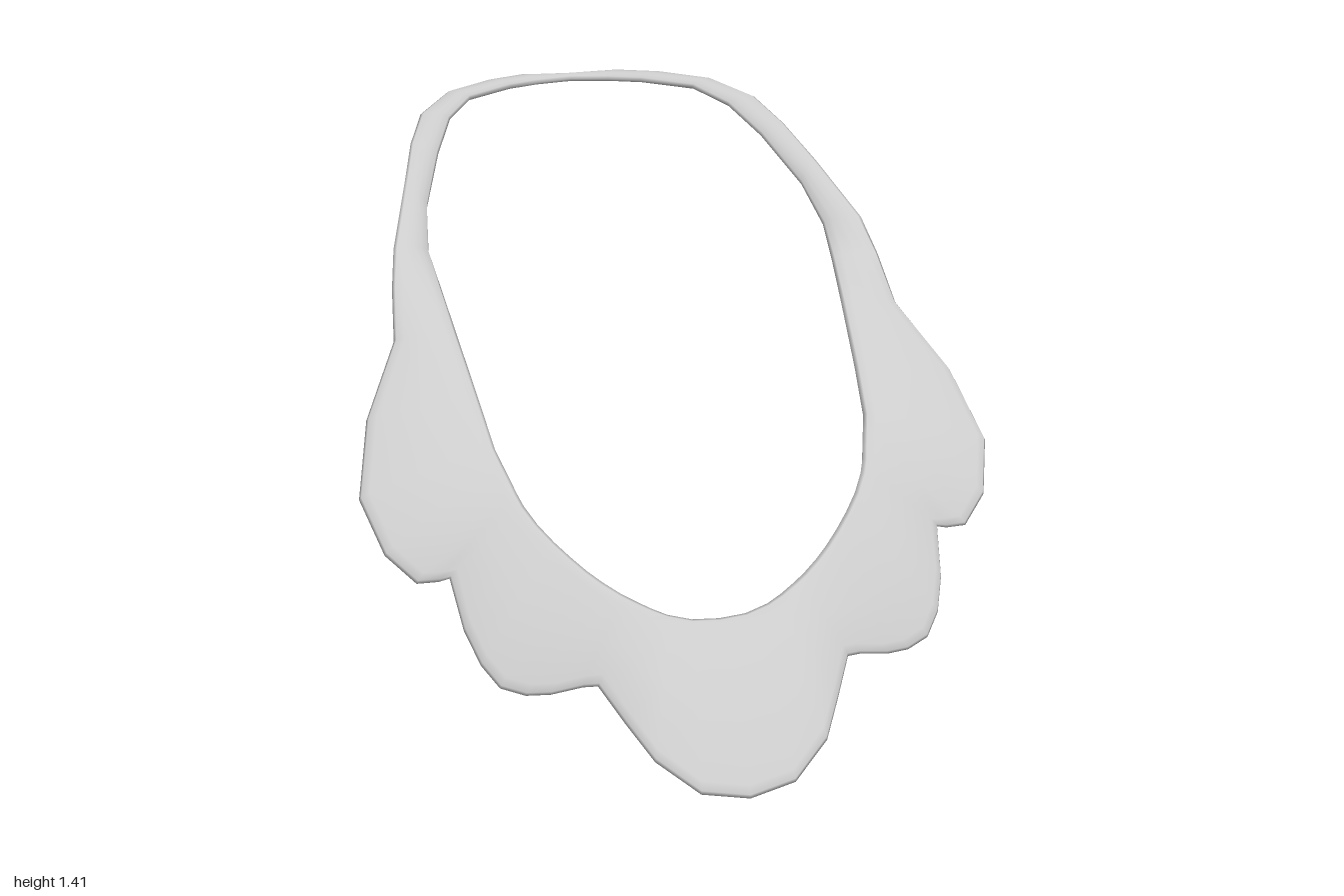
import * as THREE from 'three';

// Half outlines of the collar (+x side), from front centre round to back centre.
const OUTER = [
  [0, 0.01, 0.995], [0.12, 0.03, 0.98], [0.22, 0.1, 0.92], [0.275, 0.17, 0.84], [0.325, 0.24, 0.765],
  [0.36, 0.237, 0.755], [0.44, 0.222, 0.745], [0.5, 0.222, 0.735], [0.56, 0.24, 0.715], [0.6, 0.29, 0.68],
  [0.63, 0.36, 0.62], [0.648, 0.465, 0.535], [0.675, 0.458, 0.533], [0.73, 0.458, 0.53], [0.8, 0.52, 0.48],
  [0.845, 0.63, 0.37], [0.8, 0.78, 0.21], [0.7, 0.93, 0.04], [0.685, 1.04, -0.07], [0.665, 1.125, -0.16],
  [0.6, 1.245, -0.38], [0.555, 1.32, -0.55], [0.505, 1.375, -0.68], [0.405, 1.41, -0.805], [0.27, 1.42, -0.895],
  [0.15, 1.418, -0.965], [0, 1.405, -1],
];
const INNER = [
  [0, 0.36, 0.71], [0.07, 0.363, 0.705], [0.13, 0.378, 0.695], [0.17, 0.395, 0.683], [0.21, 0.415, 0.667],
  [0.24, 0.43, 0.652], [0.28, 0.455, 0.63], [0.315, 0.48, 0.607], [0.35, 0.51, 0.582], [0.385, 0.542, 0.553],
  [0.42, 0.58, 0.52], [0.447, 0.618, 0.485], [0.46, 0.645, 0.46], [0.47, 0.67, 0.43], [0.483, 0.7, 0.395],
  [0.495, 0.73, 0.36], [0.512, 0.82, 0.24], [0.535, 0.94, 0.06], [0.552, 1.03, -0.08], [0.565, 1.1, -0.2],
  [0.545, 1.185, -0.34], [0.48, 1.29, -0.53], [0.42, 1.355, -0.68], [0.34, 1.392, -0.785], [0.2, 1.402, -0.875],
  [0.11, 1.402, -0.92], [0, 1.402, -0.955],
];

// Mirror a half outline into a closed loop of vectors.
function closedLoop(half) {
  const side = half.map((p) => new THREE.Vector3(...p));
  const mirrored = side.slice(1, -1).reverse().map((p) => new THREE.Vector3(-p.x, p.y, p.z));
  return [...side, ...mirrored];
}

// Thin rounded cross-section of a given width: [distance from inner edge, height].
function section(width) {
  const rim = Math.min(0.03, width * 0.3);
  const t = Math.min(0.016, 0.01 + width * 0.03);
  const bulge = Math.min(0.012, width * 0.03);
  const top = [
    [rim * 0.25, t * 0.7], [rim, t], [width * 0.5, t + bulge],
    [width - rim, t * 0.9], [width - rim * 0.25, t * 0.5],
  ];
  const bottom = top.map(([s, h], k) => [s, k === 2 ? bulge - t : -h]).reverse();
  return [[0, 0], ...top, [width, 0], ...bottom];
}

function collarGeometry() {
  const outer = closedLoop(OUTER);
  const inner = closedLoop(INNER);
  const n = outer.length;
  const positions = [];
  const indices = [];
  let m = 0;
  for (let i = 0; i < n; i++) {
    const across = outer[i].clone().sub(inner[i]);
    const width = across.length();
    across.normalize();
    const along = inner[(i + 1) % n].clone().sub(inner[(i + n - 1) % n]);
    const normal = across.clone().cross(along).normalize();
    const ring = section(width);
    m = ring.length;
    for (const [s, h] of ring) {
      const p = inner[i].clone().addScaledVector(across, s).addScaledVector(normal, h);
      positions.push(p.x, Math.max(p.y, 0), p.z);
    }
  }
  // Join neighbouring cross-sections
  for (let i = 0; i < n; i++) {
    for (let j = 0; j < m; j++) {
      const a = i * m + j;
      const b = i * m + ((j + 1) % m);
      const c = ((i + 1) % n) * m + j;
      const d = ((i + 1) % n) * m + ((j + 1) % m);
      indices.push(a, b, c, b, d, c);
    }
  }
  const geometry = new THREE.BufferGeometry();
  geometry.setAttribute('position', new THREE.Float32BufferAttribute(positions, 3));
  geometry.setIndex(indices);
  geometry.computeVertexNormals();
  return geometry;
}

export function createModel() {
  const group = new THREE.Group();
  group.name = 'scallopedCollar';
  const collar = new THREE.Mesh(collarGeometry(), new THREE.MeshStandardMaterial({ color: 0xcccccc }));
  collar.name = 'collar';
  group.add(collar);
  return group;
}
